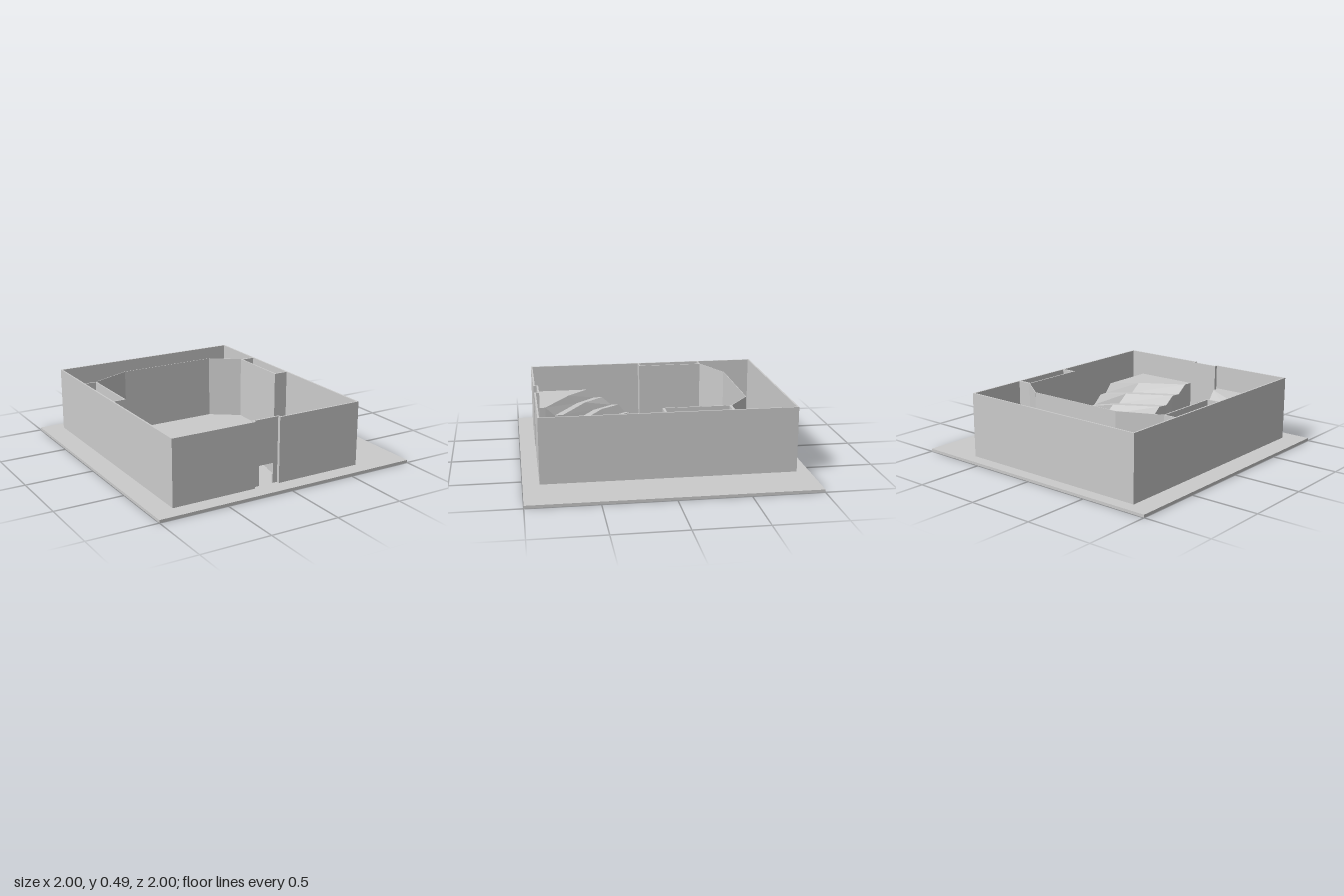
import * as THREE from 'three';

const FLOOR = 0.02, TOP = 0.49;
const grey = new THREE.MeshStandardMaterial({ color: 0xcccccc, flatShading: true, side: THREE.DoubleSide });

function add(group, geometry, name) {
  const mesh = new THREE.Mesh(geometry, grey);
  mesh.name = name;
  group.add(mesh);
  return mesh;
}

// Box given by its limits on each axis
function block(group, name, x0, x1, y0, y1, z0, z1) {
  add(group, new THREE.BoxGeometry(x1 - x0, y1 - y0, z1 - z0), name)
    .position.set((x0 + x1) / 2, (y0 + y1) / 2, (z0 + z1) / 2);
}

// Upright wall between two plan points; door = [start, end, height] along it
function wall(group, name, [x0, z0], [x1, z1], thickness, door) {
  const length = Math.hypot(x1 - x0, z1 - z0), h = TOP - FLOOR;
  const s = new THREE.Shape().moveTo(0, 0);
  if (door) {
    const [a, b, dh] = door;
    s.lineTo(a, 0).lineTo(a, dh).lineTo(b, dh).lineTo(b, 0);
  }
  s.lineTo(length, 0).lineTo(length, h).lineTo(0, h).closePath();
  const g = new THREE.ExtrudeGeometry(s, { depth: thickness, bevelEnabled: false });
  g.translate(0, 0, -thickness / 2);
  const mesh = add(group, g, name);
  mesh.position.set(x0, FLOOR, z0);
  mesh.rotation.y = -Math.atan2(z1 - z0, x1 - x0);
}

// Raked seating: rows of [outer, middle, inner] points, flat treads and sloping risers
function seating(mirrored) {
  const outerZ = [0.01, 0.055, 0.10, 0.14, 0.19, 0.25, 0.325, 0.39, 0.45];
  const innerX = [0.10, 0.097, 0.092, 0.083, 0.07, 0.055, 0.04, 0.03, 0.02];
  const innerZ = [0.335, 0.39, 0.435, 0.475, 0.53, 0.60, 0.665, 0.73, 0.80];
  const rows = outerZ.map((z, i) => {
    const t = i / 8, y = 0.04 + Math.floor(i / 2) * 0.0675;
    return [[0.505, y, z], [0.44 - 0.10 * t, y, 0.075 + 0.53 * t], [innerX[i], y, innerZ[i]]];
  });
  // Flat deck behind the last row
  rows.push([0.505, 0.34, 0.015].map((x) => [x, 0.31, 0.868]));

  const out = [];
  const place = ([x, y, z]) => [mirrored ? -0.235 - x : x, y, z];
  const quad = (a, b, c, d) => {
    const order = mirrored ? [a, c, b, a, d, c] : [a, b, c, a, c, d];
    order.forEach((p) => out.push(...place(p)));
  };
  for (let i = 0; i < rows.length - 1; i++) {
    for (let j = 0; j < 2; j++) quad(rows[i][j], rows[i][j + 1], rows[i + 1][j + 1], rows[i + 1][j]);
  }
  // Upright sides down to the floor, all the way round
  const last = rows[rows.length - 1];
  const rim = [rows[0][2], rows[0][1], ...rows.map((r) => r[0]), last[1],
    ...rows.slice(1).reverse().map((r) => r[2])];
  const down = ([x, , z]) => [x, FLOOR, z];
  rim.forEach((p, i) => {
    const q = rim[(i + 1) % rim.length];
    quad(p, q, down(q), down(p));
  });
  const g = new THREE.BufferGeometry();
  g.setAttribute('position', new THREE.Float32BufferAttribute(out, 3));
  g.computeVertexNormals();
  return g;
}

export function createModel() {
  const model = new THREE.Group();
  model.name = 'theatreHall';

  block(model, 'groundSlab', -1, 1, 0, FLOOR, -1, 1);

  // Outer shell
  const shell = new THREE.Group();
  shell.name = 'outerWalls';
  model.add(shell);
  const T = 0.012, W = -0.838, E = 0.618, N = -0.904, S = 0.878;
  wall(shell, 'backWall', [W - T / 2, N], [E + T / 2, N], T);
  wall(shell, 'rightWall', [W, N], [W, S], T);
  wall(shell, 'leftWall', [E, N], [E, S], T);
  wall(shell, 'frontWallRight', [W - T / 2, S], [-0.22, S], T);
  wall(shell, 'frontWallLeft', [-0.03, S], [E + T / 2, S], T);

  // Recessed entrance with its doorway
  wall(shell, 'entranceReturnRight', [-0.226, 0.848], [-0.226, S], T);
  wall(shell, 'entranceReturnLeft', [-0.024, 0.848], [-0.024, S], T);
  wall(shell, 'entranceWall', [-0.232, 0.854], [-0.018, 0.854], T, [0.057, 0.167, 0.145]);

  // Side rooms: inner wall plus two cross walls each
  const rooms = new THREE.Group();
  rooms.name = 'sideRooms';
  model.add(rooms);
  const t = 0.01;
  wall(rooms, 'rightRoomWall', [-0.745, -0.478], [-0.745, 0.02], t);
  wall(rooms, 'rightRoomBack', [W, -0.473], [-0.74, -0.473], t);
  wall(rooms, 'rightRoomFront', [W, 0.015], [-0.74, 0.015], t, [0.03, 0.07, 0.1]);
  wall(rooms, 'leftRoomWall', [0.51, -0.465], [0.51, 0.025], t);
  wall(rooms, 'leftRoomBack', [0.505, -0.452], [E, -0.452], 0.018);
  wall(rooms, 'leftRoomFront', [0.505, 0.018], [E, 0.018], 0.016, [0.03, 0.07, 0.1]);

  // Angled wall behind the stage
  const back = [[-0.745, -0.475], [-0.445, -0.61], [0.3, -0.61], [0.508, -0.46]];
  for (let i = 0; i < 3; i++) wall(model, 'stageBackWall', back[i], back[i + 1], 0.005);

  block(model, 'stagePlatform', -0.525, 0.31, FLOOR, 0.06, -0.425, 0.01);
  block(model, 'lectern', -0.088, -0.062, FLOOR, 0.08, 0.235, 0.26);

  add(model, seating(false), 'leftSeating');
  add(model, seating(true), 'rightSeating');
  return model;
}
